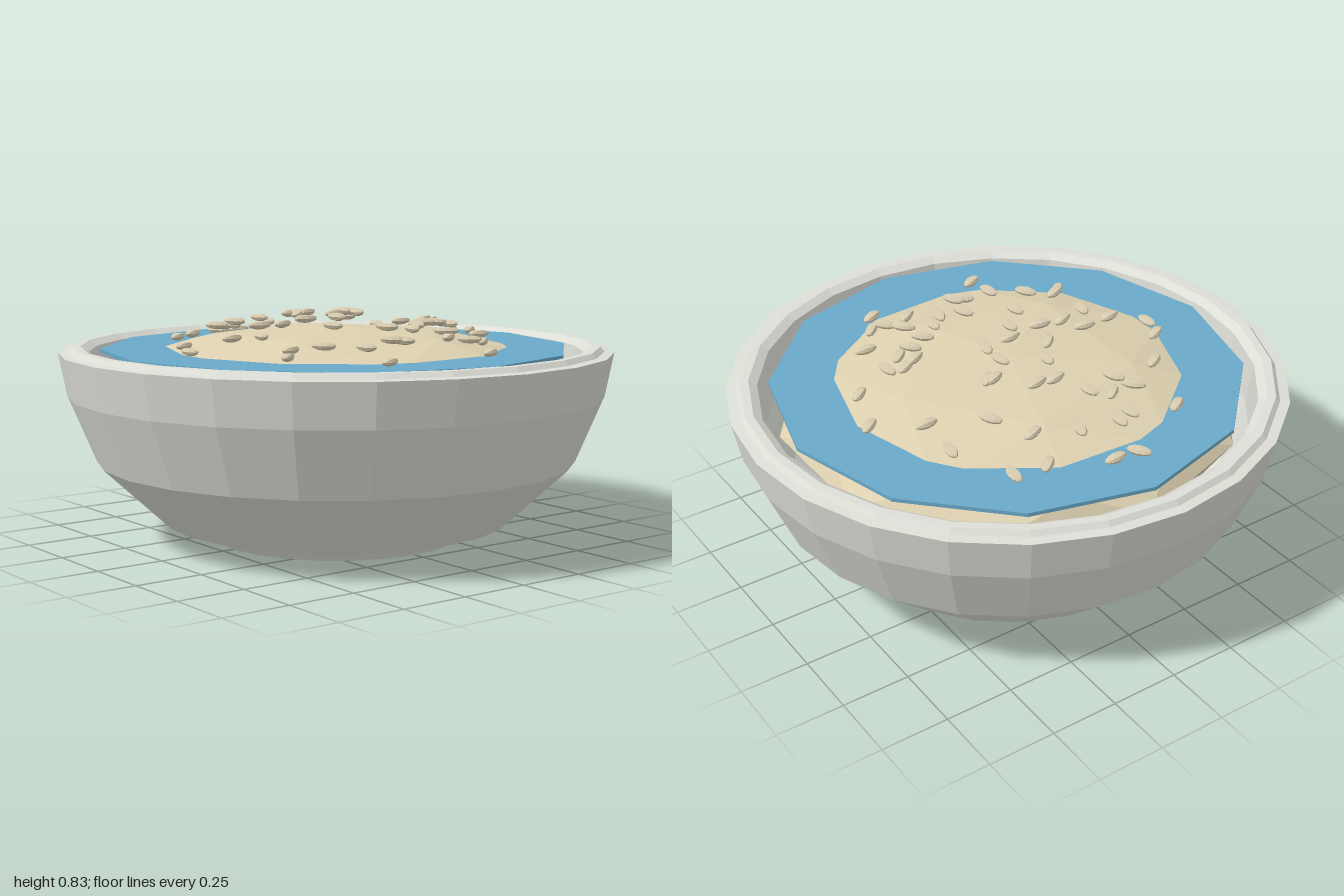
import * as THREE from 'three';

const flat = (color) => new THREE.MeshStandardMaterial({ color, flatShading: true });

export function createModel() {
  const model = new THREE.Group();
  const add = (name, geometry, material, parent = model) => {
    const mesh = new THREE.Mesh(geometry, material);
    mesh.name = name;
    parent.add(mesh);
    return mesh;
  };

  // Bowl: closed wall profile, up the outside, over the stepped rim, down the inside
  const profile = [
    [0.455, 0], [0.48, 0.03], [0.63, 0.065], [0.87, 0.29], [0.97, 0.53], [1, 0.685],
    [0.965, 0.688], [0.95, 0.705], [0.92, 0.705], [0.89, 0.685],
    [0.87, 0.53], [0.79, 0.33], [0.58, 0.12], [0.44, 0.07], [0.425, 0.03], [0.425, 0], [0.455, 0],
  ].map(([r, y]) => new THREE.Vector2(r, y));
  add('bowl', new THREE.LatheGeometry(profile, 24), flat(0xdcded6));

  // Liquid: thin twelve-sided disc
  add('liquid', new THREE.CylinderGeometry(0.85, 0.85, 0.014, 12), flat(0x6aaac8)).position.y = 0.688;

  // Mound: flattened faceted sphere with a corner at the top
  const mound = new THREE.IcosahedronGeometry(1, 1);
  mound.rotateZ(-Math.atan(2 / (1 + Math.sqrt(5))));
  mound.scale(0.83, 0.2, 0.83);
  add('mound', mound, flat(0xddd0b0)).position.y = 0.573;

  // Grains: scattered over the mound, grouped by heading as [x, z]
  const headings = [
    [0.1, [[0.02, -0.66], [-0.48, 0.04], [-0.18, 0.06], [0.05, -0.25], [0.46, -0.19],
      [0.38, 0.35], [-0.02, -0.26], [-0.33, -0.01], [-0.03, 0.03]]],
    [1.5, [[-0.1, -0.52], [-0.16, -0.5], [0.05, -0.5], [-0.09, -0.36], [0.35, -0.55],
      [-0.06, -0.15], [0.08, -0.07], [0.08, 0.02], [-0.62, -0.01], [-0.08, 0.11],
      [-0.42, 0.13], [-0.18, 0.22], [0.46, -0.34], [0.12, 0.31], [-0.23, 0.47],
      [0.06, 0.36], [0.4, 0.16]]],
    [-1, [[-0.07, -0.67], [-0.26, -0.39], [-0.02, 0.32], [0.2, 0.25], [-0.34, 0.38], [0.28, -0.31],
      [-0.1, 0.45], [-0.07, 0.47], [0.23, 0.47], [0.27, 0.22], [-0.22, -0.33], [0.2, 0.38]]],
    [0.6, [[-0.35, -0.52], [0.23, -0.57], [0.2, -0.44], [-0.16, -0.4], [-0.43, -0.29],
      [-0.58, -0.11], [-0.13, -0.06], [-0.28, 0.06], [0.6, -0.05], [0.54, 0.12],
      [0.16, -0.15], [0.18, -0.14], [0.3, 0.14], [0.35, 0.12], [0.33, 0.2], [-0.44, 0.33],
      [-0.48, 0.37], [0.14, 0.46], [0.21, 0.6], [0.28, 0.48], [-0.25, 0.62]]],
  ];
  // Pointed grain lying along x, with a shallow groove along its top
  const grain = new THREE.SphereGeometry(1, 8, 6);
  grain.rotateZ(Math.PI / 2);
  const p = grain.attributes.position;
  for (let i = 0; i < p.count; i++) {
    const groove = p.getY(i) > 0 && Math.abs(p.getZ(i)) < 0.05 ? 0.75 : 1;
    p.setXYZ(i, p.getX(i) * 0.045, p.getY(i) * 0.016 * groove, p.getZ(i) * 0.021);
  }
  const grains = new THREE.Group();
  grains.name = 'grains';
  model.add(grains);
  const grainMaterial = flat(0xd8ccb0);
  for (const [angle, spots] of headings) {
    spots.forEach(([x, z], i) => {
      const mesh = add('grain', grain, grainMaterial, grains);
      const lift = Math.max(0, 1 - (x * x + z * z) / 0.4);
      mesh.position.set(x, 0.708 + 0.11 * lift, z);
      mesh.rotation.y = angle + 0.2 * Math.sin(i * 2.4);
    });
  }
  return model;
}
